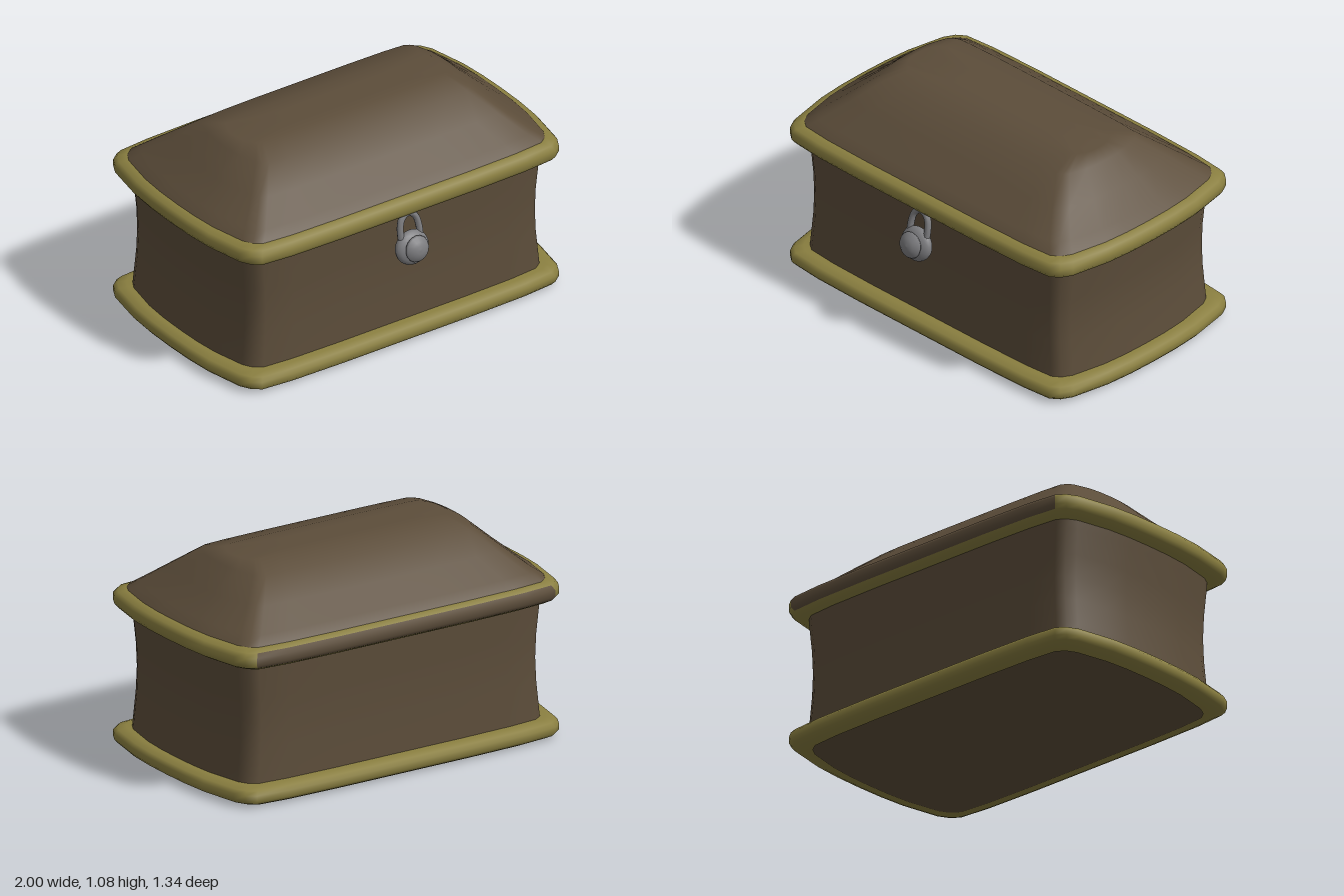
import * as THREE from 'three';

const CENTRE_Z = -0.045;

// One quarter of the bulging rounded-rectangle plan, as fractions of the half sizes
const QUARTER = [[1, 0], [0.997, 0.25], [0.985, 0.49], [0.945, 0.82], [0.915, 0.91], [0.87, 0.965], [0.7, 0.99], [0.4, 1], [0, 1]];

function planOutline() {
  const half = [...QUARTER, ...QUARTER.slice(0, -1).reverse().map(([x, z]) => [-x, z])];
  return [...half, ...half.slice(1, -1).reverse().map(([x, z]) => [x, -z])];
}

// Skin a stack of rings [halfX, y, halfZ], listed from the underside outwards and up.
// isSecond(ring, x, z) picks the faces that take the second material.
function loft(rings, isSecond = () => false) {
  const plan = planOutline(), n = plan.length;
  const positions = [], first = [], second = [];
  for (const [hx, y, hz] of rings) for (const [x, z] of plan) positions.push(x * hx, y, z * hz);
  for (let i = 0; i < rings.length - 1; i++) {
    for (let j = 0; j < n; j++) {
      const k = (j + 1) % n, a = i * n + j, b = i * n + k;
      const mx = (plan[j][0] + plan[k][0]) / 2, mz = (plan[j][1] + plan[k][1]) / 2;
      (isSecond(i, mx, mz) ? second : first).push(a, a + n, b, b, a + n, b + n);
    }
  }
  const geometry = new THREE.BufferGeometry();
  geometry.setAttribute('position', new THREE.Float32BufferAttribute(positions, 3));
  geometry.setIndex([...first, ...second]);
  geometry.addGroup(0, first.length, 0);
  geometry.addGroup(first.length, second.length, 1);
  geometry.computeVertexNormals();
  return geometry;
}

export function createModel() {
  const wood = new THREE.MeshStandardMaterial({ color: 0x5c4d3a });
  const brass = new THREE.MeshStandardMaterial({ color: 0x8a7f40 });
  const steel = new THREE.MeshStandardMaterial({ color: 0x7d7d80 });
  wood.name = 'wood';
  brass.name = 'brass';
  steel.name = 'steel';

  const model = new THREE.Group();
  model.name = 'chest';
  const add = (parent, name, geometry, material) => {
    const mesh = new THREE.Mesh(geometry, material);
    mesh.name = name;
    parent.add(mesh);
    return mesh;
  };

  const box = new THREE.Group();
  box.name = 'box';
  box.position.z = CENTRE_Z;
  model.add(box);

  // Walls, slightly waisted
  add(box, 'walls', loft([
    [0.935, 0.05, 0.55], [0.925, 0.15, 0.546], [0.912, 0.28, 0.541], [0.907, 0.4, 0.539],
    [0.912, 0.52, 0.541], [0.925, 0.65, 0.547], [0.932, 0.75, 0.55],
  ]), [wood, wood]);

  // Floor, seen inside the bottom trim
  add(box, 'floor', loft([[0, 0.004, 0], [0.94, 0.004, 0.567]]).scale(1, 1, 1), [wood, wood])
    .geometry.computeVertexNormals();

  // Rounded trims: [inset, height fraction]
  const section = [[0.09, 0], [0.045, 0.01], [0.014, 0.18], [0, 0.36], [0, 0.68], [0.016, 0.88], [0.05, 1], [0.11, 1]];
  const trimRings = (y0, y1) => section.map(([d, t]) => [1 - d, y0 + (y1 - y0) * t, 0.627 - d]);
  add(box, 'bottomTrim', loft(trimRings(0, 0.095)), [brass, brass]);

  // The outer face of the top trim is wood along the back
  const backFace = (ring, x, z) => ring >= 2 && ring <= 4 && z < -0.97 && Math.abs(x) < 0.88;
  add(box, 'topTrim', loft(trimRings(0.695, 0.805), backFace), [brass, wood]);

  // Hipped, softly curved lid
  add(box, 'lid', loft([
    [0.958, 0.785, 0.582], [0.945, 0.81, 0.57], [0.895, 0.845, 0.525], [0.785, 0.94, 0.405],
    [0.675, 1.04, 0.275], [0.61, 1.075, 0.135], [0.3, 1.075, 0.06], [0, 1.075, 0],
  ]), [wood, wood]);

  // Padlock, hanging with its top leaning towards the chest
  const padlock = new THREE.Group();
  padlock.name = 'padlock';
  padlock.position.set(0, 0.54, 0.585);
  padlock.rotation.x = -0.2;
  model.add(padlock);

  add(padlock, 'lockBody', new THREE.SphereGeometry(1, 20, 14), steel).scale.set(0.095, 0.088, 0.045);

  // Domed front cover, flared at its edge
  const cover = [[0.04, 0], [0.05, 0.02], [0.068, 0.046], [0.062, 0.056], [0.04, 0.071], [0.02, 0.077], [0, 0.079]];
  const coverMesh = add(padlock, 'lockCover',
    new THREE.LatheGeometry(cover.map(([r, y]) => new THREE.Vector2(r, y)), 16), steel);
  coverMesh.rotation.x = Math.PI / 2;
  coverMesh.position.y = 0.002;

  // Shackle loop
  const loop = [[-0.056, 0.05], [-0.055, 0.1], [-0.045, 0.145], [-0.024, 0.17], [0, 0.177],
    [0.024, 0.17], [0.045, 0.145], [0.055, 0.1], [0.056, 0.05]];
  const curve = new THREE.CatmullRomCurve3(loop.map(([x, y]) => new THREE.Vector3(x, y, 0)));
  add(padlock, 'shackle', new THREE.TubeGeometry(curve, 24, 0.017, 8), steel);

  return model;
}
